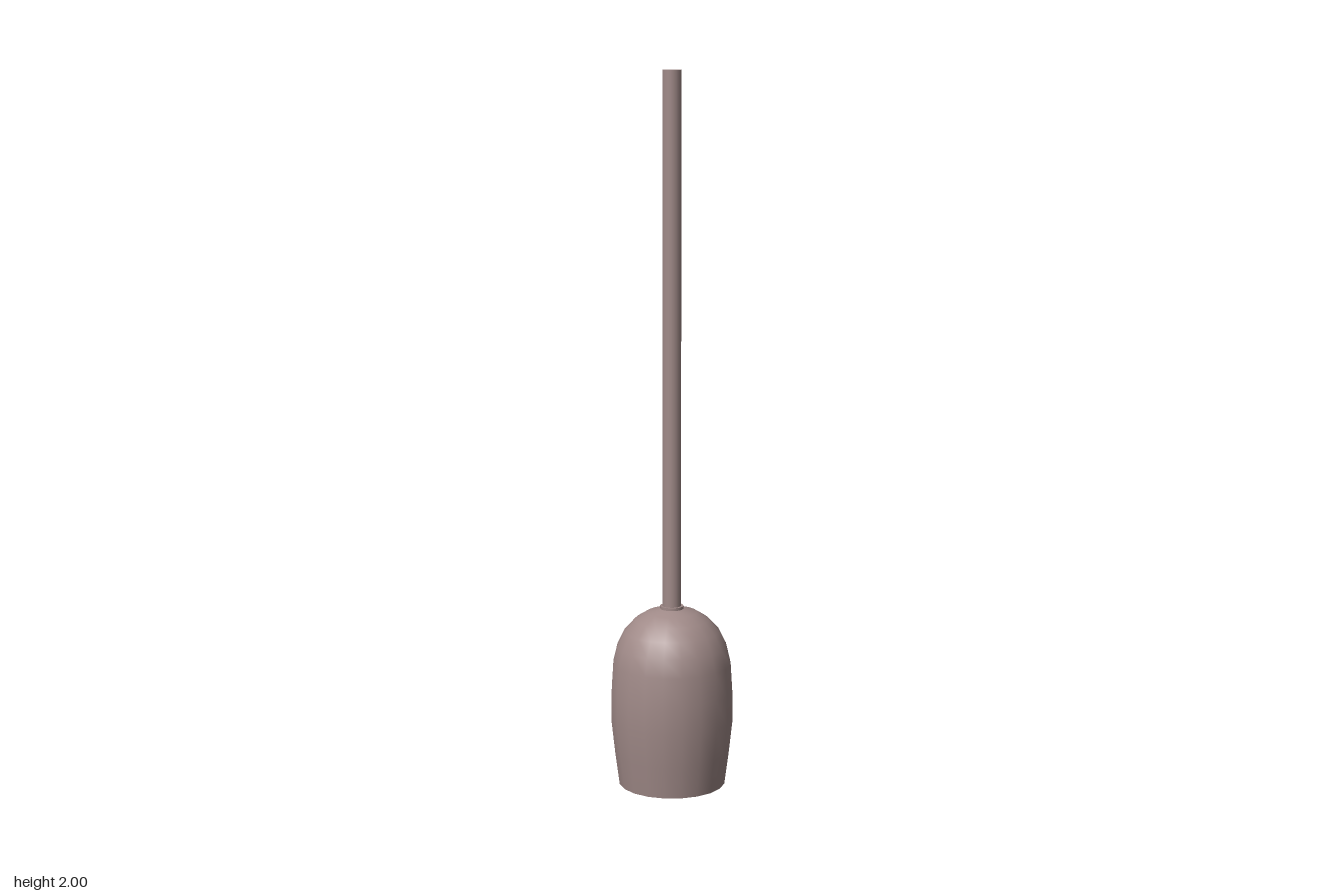
import * as THREE from 'three';

export function createModel() {
  const model = new THREE.Group();
  model.name = 'pendantLamp';

  const dustyMauve = new THREE.MeshStandardMaterial({ color: 0xa08a88, side: THREE.DoubleSide });
  dustyMauve.name = 'dustyMauve';

  const add = (name, geometry, y = 0) => {
    const mesh = new THREE.Mesh(geometry, dustyMauve);
    mesh.name = name;
    mesh.position.y = y;
    model.add(mesh);
  };
  const lathe = (points, sides) =>
    new THREE.LatheGeometry(points.map(([r, y]) => new THREE.Vector2(r, y)), sides);

  // Thin open shade: tapered mouth, widest low down, domed top
  add('shade', lathe([
    [0.15, 0], [0.162, 0.09], [0.173, 0.19], [0.172, 0.27], [0.167, 0.35],
    [0.155, 0.4], [0.134, 0.443], [0.104, 0.476], [0.07, 0.497], [0.03, 0.508],
  ], 20));

  // Small collar where the stem enters the dome
  add('collar', new THREE.CylinderGeometry(0.033, 0.033, 0.014, 20), 0.508);

  // Long straight stem
  add('stem', new THREE.CylinderGeometry(0.026, 0.026, 1.49, 20), 1.255);

  // Socket and bulb hidden inside the shade
  add('socket', new THREE.CylinderGeometry(0.03, 0.03, 0.29, 20), 0.36);
  add('bulb', lathe([
    [0, 0.082], [0.025, 0.089], [0.043, 0.107], [0.05, 0.132],
    [0.045, 0.16], [0.034, 0.19], [0.028, 0.22],
  ], 20));

  return model;
}
